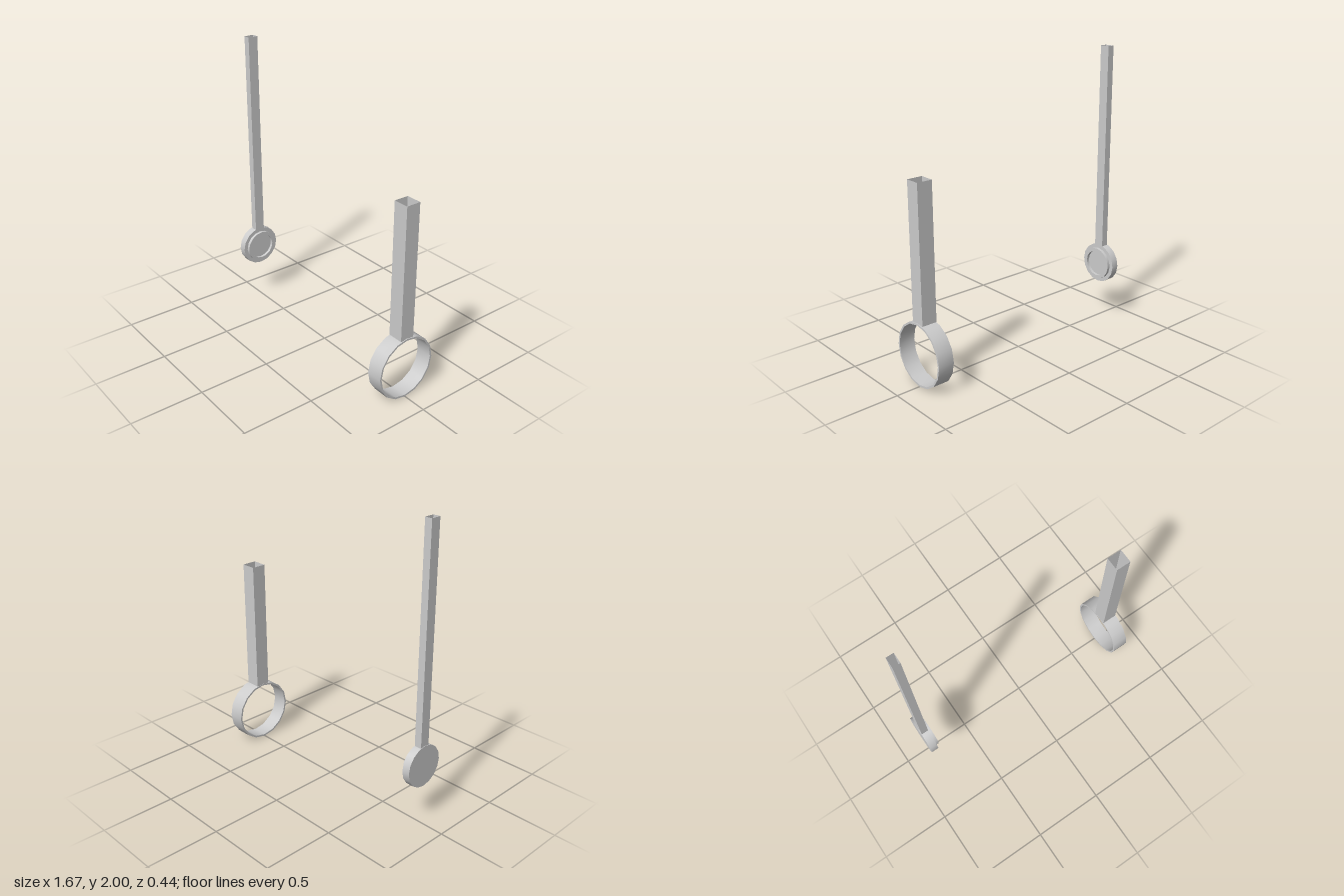
import * as THREE from 'three';
import { toCreasedNormals } from 'three/addons/utils/BufferGeometryUtils.js';

const material = new THREE.MeshStandardMaterial({ color: 0xcccccc, side: THREE.DoubleSide });

// Turned part about the x axis; profile is a list of [radius, x]
function turned(name, profile, y) {
  const points = profile.map(([r, x]) => new THREE.Vector2(r, x));
  const geometry = new THREE.LatheGeometry(points, 16);
  geometry.rotateZ(-Math.PI / 2);
  const mesh = new THREE.Mesh(toCreasedNormals(geometry, 0.6), material);
  mesh.name = name;
  mesh.position.y = y;
  return mesh;
}

// Thin rectangular tube with open ends
function post(name, x0, x1, depth, y0, y1) {
  const geometry = new THREE.CylinderGeometry(Math.SQRT1_2, Math.SQRT1_2, 1, 4, 1, true);
  geometry.rotateY(Math.PI / 4);
  geometry.scale(x1 - x0, y1 - y0, depth);
  const mesh = new THREE.Mesh(toCreasedNormals(geometry, 0.6), material);
  mesh.name = name;
  mesh.position.set((x0 + x1) / 2, (y0 + y1) / 2, 0);
  return mesh;
}

export function createModel() {
  const model = new THREE.Group();
  model.name = 'hangers';

  // Slim hanger: long post carrying a disc with a raised rim
  const discHanger = new THREE.Group();
  discHanger.name = 'discHanger';
  discHanger.add(
    post('discPost', -0.832, -0.782, 0.07, 0.555, 2),
    turned('rimmedDisc', [
      [0, -0.835], [0.143, -0.835], [0.143, -0.782], [0.115, -0.782],
      [0.115, -0.761], [0.093, -0.761], [0.093, -0.782], [0, -0.782],
    ], 0.421),
  );

  // Wide hanger: shorter post carrying an open hoop
  const hoopHanger = new THREE.Group();
  hoopHanger.name = 'hoopHanger';
  hoopHanger.add(
    post('hoopPost', 0.721, 0.827, 0.102, 0.432, 1.35),
    turned('hoop', [
      [0.206, 0.72], [0.219, 0.72], [0.219, 0.832], [0.206, 0.832], [0.206, 0.72],
    ], 0.219),
  );

  model.add(discHanger, hoopHanger);
  return model;
}
